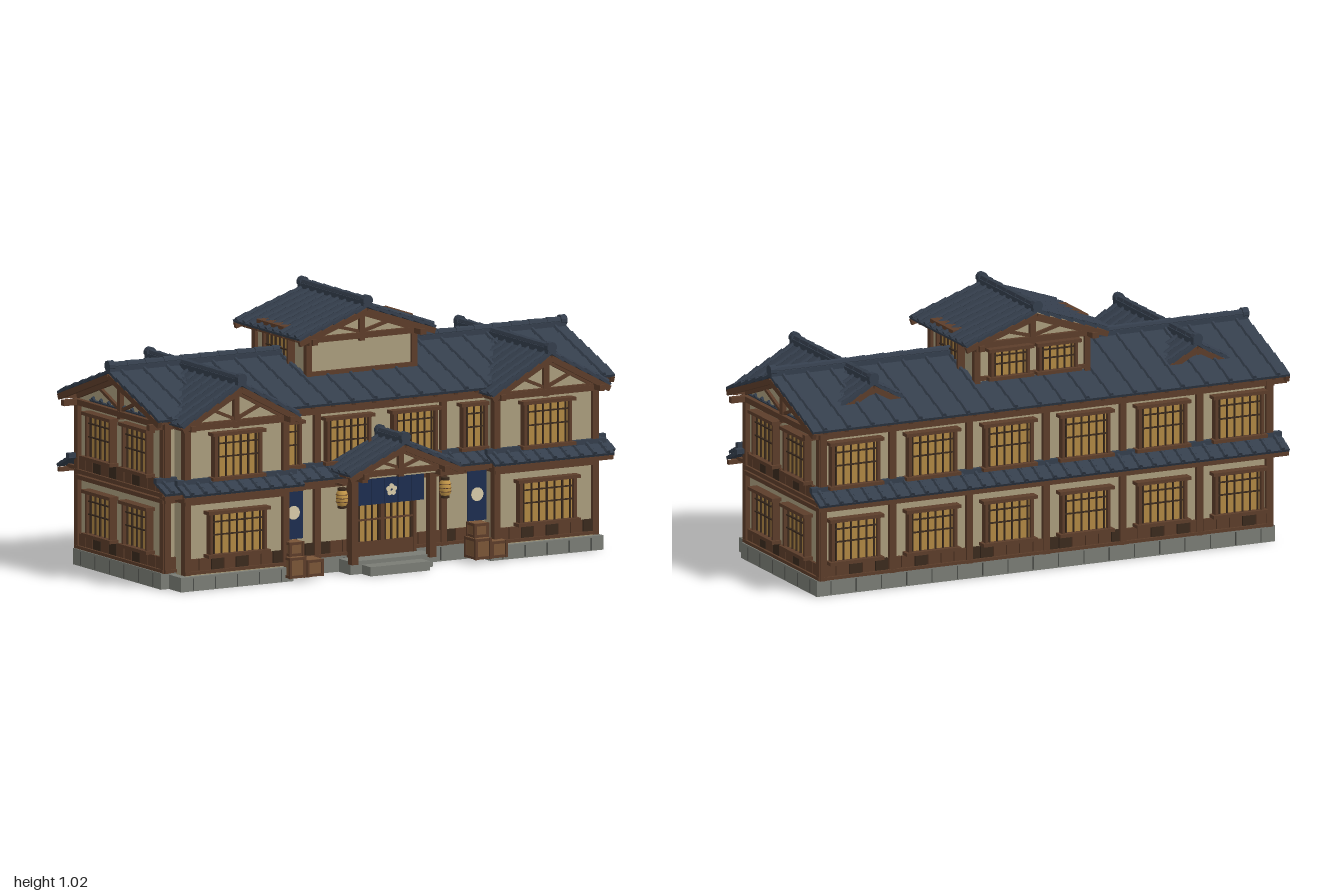
import * as THREE from 'three';
import { mergeGeometries } from 'three/addons/utils/BufferGeometryUtils.js';

const mat = (color, o = {}) => new THREE.MeshStandardMaterial({ color, ...o });
const M = {
  tile: mat(0x343e4c, { flatShading: true }), wood: mat(0x5c3d2a), dark: mat(0x3a2a1d),
  plaster: mat(0xa99c7c), pane: mat(0xb08743), stone: mat(0x7a7c75), joint: mat(0x4a4c48),
  navy: mat(0x1d2d50), pale: mat(0xd8cba8), crate: mat(0x7a5537), lamp: mat(0xc89a4a),
};

const group = (parent, name, x = 0, y = 0, z = 0, ry = 0) => {
  const g = new THREE.Group();
  g.name = name;
  g.position.set(x, y, z);
  g.rotation.y = ry;
  parent.add(g);
  return g;
};
const add = (g, geo, m, x = 0, y = 0, z = 0) => {
  const mesh = new THREE.Mesh(geo, M[m]);
  mesh.position.set(x, y, z);
  g.add(mesh);
  return mesh;
};
const box = (g, m, w, h, d, x, y, z) => add(g, new THREE.BoxGeometry(w, h, d), m, x, y, z);
// Beam between two points of an upright plane
const bar = (g, m, x1, y1, x2, y2, z, t, d) => {
  const b = box(g, m, Math.hypot(x2 - x1, y2 - y1), t, d, (x1 + x2) / 2, (y1 + y2) / 2, z);
  b.rotation.z = Math.atan2(y2 - y1, x2 - x1);
};
const spread = (n, span, fn) => { for (let i = 0; i < n; i++) fn(-span / 2 + (span * (i + 0.5)) / n, i); };

// Tiled slope: falls from the origin along +x, its length lies along z
function slope(parent, len, run, drop, courses, pitch) {
  const g = group(parent, 'tiledSlope');
  const L = Math.hypot(run, drop), step = L / courses, geos = [];
  for (let i = 0; i < courses; i++) {
    const x = step * (i + 0.5);
    geos.push(new THREE.BoxGeometry(step * 1.15, 0.011, len).rotateZ(-0.1).translate(x, 0, 0));
    spread(Math.round(len / pitch), len, (z) => {
      geos.push(new THREE.CylinderGeometry(0.007, 0.0105, step * 1.12, 6)
        .rotateZ(Math.PI / 2 - 0.07).translate(x, 0.007, z));
    });
  }
  add(g, mergeGeometries(geos), 'tile').name = 'roofTiles';
  g.rotation.z = -Math.atan2(drop, run);
  return g;
}

// Complete gabled roof with ridge along z, gable walls and trusses at both ends
function gableRoof(parent, name, p) {
  const g = group(parent, name, p.x || 0, 0, p.z, p.ry || 0);
  const { half, len, ridge, eave, wall, base, inset } = p;
  const k = (ridge - eave) / half;
  for (const s of [1, -1]) {
    const side = group(g, 'roofSide', 0, ridge, 0, s > 0 ? 0 : Math.PI);
    slope(side, len, half, ridge - eave, p.courses, p.pitch);
    box(g, 'wood', 0.022, 0.02, len - 0.02, s * (half - 0.03), eave - 0.012, 0);
    // rafter tails
    spread(Math.round(len / 0.09), len - 0.03, (z) =>
      bar(g, 'wood', s * (wall - 0.02), ridge - k * (wall - 0.02) - 0.016, s * (half - 0.008), eave - 0.013, z, 0.012, 0.014));
  }
  // ridge cap and end ornaments
  box(g, 'tile', 0.036, 0.024, len, 0, ridge + 0.008, 0);
  const n = Math.round(len / 0.08);
  spread(n, len, (z) => add(g, new THREE.CylinderGeometry(0.013, 0.016, len / n, 8).rotateX(Math.PI / 2), 'tile', 0, ridge + 0.022, z));
  for (const e of [1, -1]) {
    const zw = e * (len / 2 - inset), zb = e * (len / 2 - 0.008);
    add(g, new THREE.CylinderGeometry(0.021, 0.021, 0.025, 10).rotateX(Math.PI / 2), 'tile', 0, ridge + 0.022, e * (len / 2 - 0.01));
    for (const s of [1, -1]) {
      bar(g, 'wood', 0, ridge - 0.02, s * half, eave - 0.02, zb, 0.022, 0.016);
      bar(g, 'wood', 0, ridge - 0.03, s * wall, ridge - k * wall - 0.03, zw, 0.022, 0.03);
      const t = wall * 0.52;
      bar(g, 'wood', s * 0.008, base + 0.035, s * t, ridge - k * t - 0.03, zw, 0.012, 0.024);
      box(g, 'wood', 0.022, 0.022, inset + 0.02, s * wall, base + 0.02, e * (len / 2 - inset / 2));
    }
    box(g, 'wood', wall * 2 + 0.05, 0.022, 0.034, 0, base + 0.02, zw);
    box(g, 'wood', 0.022, ridge - base - 0.02, 0.034, 0, (ridge + base) / 2 - 0.01, zw);
  }
  // plaster body below the tiles
  const edge = ridge - k * wall - 0.015;
  const shape = new THREE.Shape([[-wall, base], [wall, base], [wall, edge], [0, ridge - 0.015], [-wall, edge]].map((a) => new THREE.Vector2(...a)));
  const depth = len - inset * 2;
  add(g, new THREE.ExtrudeGeometry(shape, { depth, bevelEnabled: false }), 'plaster', 0, 0, -depth / 2).name = 'gableWall';
  return g;
}

// Lattice window, facing +z
function latticeWindow(parent, x, y, w, h) {
  const g = group(parent, 'latticeWindow', x, y, 0);
  box(g, 'pane', w, h, 0.012, 0, 0, 0.008);
  spread(Math.round(w / 0.032), w, (bx) => box(g, 'dark', 0.005, h, 0.008, bx, 0, 0.017));
  for (const f of [-0.02, 0.28]) box(g, 'dark', w, 0.005, 0.008, 0, h * f, 0.018);
  for (const s of [1, -1]) {
    box(g, 'wood', 0.012, h, 0.03, s * w / 2, 0, 0.015);
    box(g, 'wood', w + 0.036, 0.013, 0.04, 0, s * h / 2, 0.02);
  }
}

// Dressing of one wall face: windows, boards, beams and posts
function facade(parent, name, x, z, ry, len, low, high, posts = []) {
  const g = group(parent, name, x, 0, z, ry);
  for (const [wx, w] of low) latticeWindow(g, wx, 0.21, w, 0.165);
  for (const [wx, w] of high) latticeWindow(g, wx, 0.505, w, 0.17);
  for (const y of [0.094, 0.39])
    spread(Math.round(len / 0.055), len, (bx, i) =>
      box(g, i % 5 === 2 || i % 7 === 4 ? 'dark' : 'wood', len / Math.round(len / 0.055) - 0.004, 0.05, 0.014, bx, y, 0.004));
  for (const [y, t] of [[0.068, 0.012], [0.335, 0.016], [0.357, 0.016], [0.62, 0.022]])
    box(g, 'wood', len + 0.02, t, 0.03, 0, y, 0.005);
  for (const px of [-len / 2, len / 2, ...posts]) box(g, 'wood', 0.026, 0.57, 0.03, px, 0.345, 0.003);
  return g;
}

// Low tiled canopy along a wall, falling along local +z
function canopy(parent, name, x, y, z, ry, len, run, drop) {
  const g = group(parent, name, x, y, z, ry);
  const s = group(g, 'canopySlope', 0, 0, 0, -Math.PI / 2);
  slope(s, len, run, drop, 3, 0.06);
  box(g, 'tile', len, 0.018, 0.022, 0, 0.006, 0.008);
  box(g, 'wood', len, 0.016, 0.016, 0, -drop - 0.016, run - 0.012);
  spread(Math.round(len / 0.09), len, (rx) => box(g, 'wood', 0.014, 0.014, run, rx, -drop - 0.004, run / 2 - 0.005));
}

function crate(parent, x, y, z, w, h, d) {
  const g = group(parent, 'crate', x, y + h / 2, z);
  box(g, 'crate', w, h, d, 0, 0, 0);
  for (const s of [1, -1]) {
    box(g, 'wood', w + 0.008, 0.01, d + 0.008, 0, s * (h / 2 - 0.006), 0);
    for (const t of [1, -1]) box(g, 'wood', 0.01, h, 0.01, s * w / 2, 0, t * d / 2);
  }
}

export function createModel() {
  const root = new THREE.Group();
  root.name = 'timberInn';
  const Q = Math.PI / 2;

  // Stone foundation with joints
  const base = group(root, 'foundation');
  box(base, 'stone', 1.91, 0.062, 0.65, 0, 0.031, -0.06);
  spread(18, 1.9, (x) => box(base, 'joint', 0.004, 0.05, 0.654, x, 0.03, -0.06));
  spread(6, 0.64, (z) => box(base, 'joint', 1.914, 0.05, 0.004, 0, 0.03, z - 0.06));
  for (const s of [1, -1]) {
    box(base, 'stone', 0.49, 0.055, 0.15, s * 0.675, 0.0275, 0.28);
    spread(5, 0.48, (x) => box(base, 'joint', 0.004, 0.045, 0.153, s * 0.675 + x, 0.026, 0.28));
  }

  // Main block
  const walls = group(root, 'mainWalls');
  box(walls, 'plaster', 1.86, 0.58, 0.63, 0, 0.345, -0.06);
  facade(root, 'frontFacade', 0, 0.255, 0, 1.86, [], [[-0.145, 0.18], [0.145, 0.18], [-0.405, 0.095], [0.405, 0.095]], [-0.275, 0.275]);
  const six = [-0.8, -0.48, -0.16, 0.16, 0.48, 0.8].map((x) => [x, 0.19]);
  facade(root, 'backFacade', 0, -0.375, Math.PI, 1.86, six, six, [-0.64, -0.32, 0, 0.32, 0.64]);
  const two = [[-0.135, 0.175], [0.135, 0.175]];
  for (const s of [1, -1]) facade(root, 'sideFacade', s * 0.93, -0.06, s * Q, 0.63, two, two);
  gableRoof(root, 'mainRoof', { z: -0.06, ry: Q, half: 0.37, len: 1.99, ridge: 0.785, eave: 0.655, wall: 0.315, base: 0.6, inset: 0.065, courses: 6, pitch: 0.1 });
  canopy(root, 'frontCanopy', 0, 0.41, 0.255, 0, 1.96, 0.085, 0.035);
  canopy(root, 'backCanopy', 0, 0.41, -0.375, Math.PI, 1.96, 0.085, 0.04);

  // Two front wings
  for (const s of [1, -1]) {
    const w = group(root, 'wing', s * 0.675);
    box(w, 'plaster', 0.43, 0.58, 0.14, 0, 0.345, 0.265);
    facade(w, 'wingFacade', 0, 0.335, 0, 0.43, [[0, 0.235]], [[0, 0.195]]);
    for (const t of [1, -1]) for (const y of [0.345, 0.62]) box(w, 'wood', 0.02, 0.025, 0.09, t * 0.215, y, 0.295);
    gableRoof(w, 'wingRoof', { z: 0.045, half: 0.255, len: 0.69, ridge: 0.775, eave: 0.638, wall: 0.215, base: 0.605, inset: 0.055, courses: 5, pitch: 0.06 });
    canopy(w, 'wingCanopy', 0, 0.41, 0.335, 0, 0.52, 0.075, 0.035);
  }

  // Roof lantern storey
  const top = group(root, 'upperStorey', 0, 0, -0.07);
  box(top, 'plaster', 0.46, 0.2, 0.38, 0, 0.78, 0);
  for (const s of [1, -1]) {
    for (const t of [1, -1]) box(top, 'wood', 0.024, 0.2, 0.024, s * 0.23, 0.78, t * 0.19);
    box(top, 'wood', 0.46, 0.016, 0.02, 0, 0.735, s * 0.192);
    box(top, 'wood', 0.02, 0.016, 0.49, s * 0.245, 0.86, 0);
    const side = group(top, 'sideWindow', s * 0.23, 0, 0, s * Q);
    latticeWindow(side, 0, 0.815, 0.18, 0.16);
    box(side, 'wood', 0.2, 0.014, 0.055, 0, 0.9, 0.025);
  }
  const rear = group(top, 'rearWindow', 0, 0, -0.19, Math.PI);
  latticeWindow(rear, -0.1, 0.79, 0.15, 0.11);
  latticeWindow(rear, 0.1, 0.79, 0.15, 0.11);
  gableRoof(root, 'upperRoof', { z: -0.07, half: 0.295, len: 0.49, ridge: 0.982, eave: 0.882, wall: 0.235, base: 0.845, inset: 0.055, courses: 6, pitch: 0.056 });

  // Entrance porch with door, curtain and step
  const porch = group(root, 'porch');
  gableRoof(porch, 'porchRoof', { z: 0.353, half: 0.24, len: 0.205, ridge: 0.503, eave: 0.4, wall: 0.175, base: 0.37, inset: 0.05, courses: 5, pitch: 0.052 });
  box(porch, 'stone', 0.26, 0.035, 0.16, 0, 0.0175, 0.335);
  box(porch, 'stone', 0.36, 0.05, 0.1, 0, 0.025, 0.3);
  for (const s of [1, -1]) {
    box(porch, 'wood', 0.028, 0.34, 0.028, s * 0.17, 0.21, 0.355);
    box(porch, 'wood', 0.024, 0.022, 0.19, s * 0.17, 0.375, 0.35);
  }
  const door = group(porch, 'slidingDoor', 0, 0, 0.265);
  box(door, 'pane', 0.28, 0.3, 0.014, 0, 0.21, 0);
  spread(10, 0.28, (x) => box(door, 'dark', 0.005, 0.3, 0.01, x, 0.21, 0.01));
  for (const [y, h] of [[0.08, 0.055], [0.19, 0.006], [0.36, 0.02]]) box(door, 'wood', 0.29, h, 0.016, 0, y, 0.01);
  for (const x of [-0.14, 0, 0.14]) box(door, 'wood', 0.014, 0.31, 0.02, x, 0.21, 0.01);
  const curtain = group(porch, 'doorCurtain', 0, 0, 0.345);
  spread(5, 0.29, (x) => box(curtain, 'navy', 0.055, 0.105, 0.006, x, 0.312, 0));
  box(curtain, 'wood', 0.33, 0.01, 0.01, 0, 0.365, 0);
  for (let i = 0; i < 5; i++) {
    const a = Q + (i * Math.PI * 2) / 5;
    add(curtain, new THREE.CylinderGeometry(0.01, 0.01, 0.004, 8).rotateX(Q), 'pale', 0.014 * Math.cos(a), 0.31 + 0.014 * Math.sin(a), 0.005);
  }

  // Banners and hanging lanterns
  for (const s of [1, -1]) {
    const b = group(root, 'banner', s * 0.4, 0, 0.3);
    box(b, 'navy', 0.082, 0.195, 0.006, 0, 0.247, 0);
    box(b, 'wood', 0.1, 0.01, 0.012, 0, 0.345, 0);
    add(b, new THREE.CylinderGeometry(0.026, 0.026, 0.004, 16).rotateX(Q), 'pale', 0, 0.25, 0.005);
    const l = group(root, 'hangingLantern', s * 0.225, 0.3, 0.365);
    const profile = [[0.014, -0.032], [0.021, -0.02], [0.023, 0], [0.021, 0.02], [0.014, 0.032]].map((a) => new THREE.Vector2(...a));
    add(l, new THREE.LatheGeometry(profile, 14), 'lamp');
    for (const t of [1, -1]) add(l, new THREE.CylinderGeometry(0.016, 0.016, 0.01, 12), 'dark', 0, t * 0.034, 0);
    for (const y of [-0.014, 0, 0.014]) add(l, new THREE.TorusGeometry(0.0225, 0.0015, 5, 14).rotateX(Q), 'wood', 0, y, 0);
    box(l, 'wood', 0.008, 0.008, 0.12, 0, 0.05, -0.05);
  }

  // Stacked crates
  for (const [x, y, w, h] of [[-0.43, 0.015, 0.062, 0.08], [-0.353, 0.015, 0.062, 0.065], [-0.428, 0.097, 0.055, 0.055],
    [0.38, 0.015, 0.062, 0.08], [0.45, 0.015, 0.062, 0.065], [0.378, 0.097, 0.055, 0.055]])
    crate(root, x, y, 0.345, w, h, y > 0.05 ? 0.055 : 0.075);

  return root;
}
